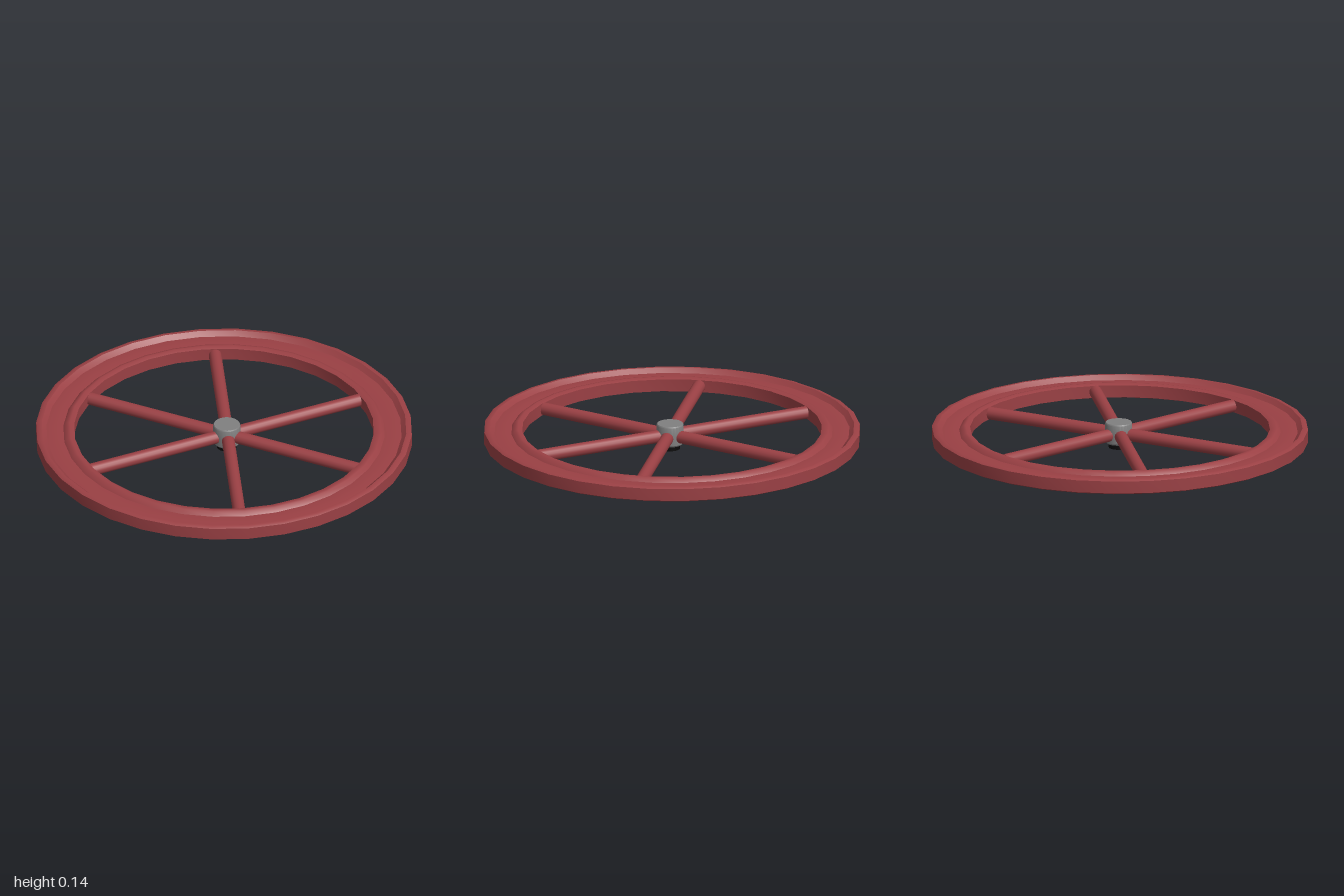
import * as THREE from 'three';
import { toCreasedNormals } from 'three/addons/utils/BufferGeometryUtils.js';

const mat = (color) => new THREE.MeshStandardMaterial({ color });

function lathe(name, profile, segments, material) {
  const points = profile.map(([r, y]) => new THREE.Vector2(r, y));
  const geometry = toCreasedNormals(new THREE.LatheGeometry(points, segments), 0.6);
  const mesh = new THREE.Mesh(geometry, material);
  mesh.name = name;
  return mesh;
}

export function createModel() {
  const wheel = new THREE.Group();
  wheel.name = 'spokedWheel';
  const red = mat(0x9a4044);
  const grey = mat(0x808080);
  const black = mat(0x0a0a0a);
  const midY = 0.076;

  // Rim: two raised lips with a shallow channel on each face
  const upper = [
    [1, 0.033], [0.985, 0.041], [0.97, 0.041], [0.945, 0.018], [0.9, 0.022],
    [0.855, 0.018], [0.835, 0.038], [0.82, 0.041], [0.797, 0.033],
  ];
  const lower = upper.map(([r, y]) => [r, -y]).reverse();
  const section = [...lower, ...upper, lower[0]];
  // Lower half runs inside to outside, upper half back inward
  const rim = lathe('rim', section, 32, red);
  rim.position.y = midY;
  wheel.add(rim);

  // Spokes: three bars crossing at the hub, each given by its two ends (x, z)
  const bars = [
    [[-0.81, -0.003], [0.81, -0.003]],
    [[-0.39, -0.685], [0.43, 0.685]],
    [[-0.49, 0.65], [0.51, -0.64]],
  ];
  for (const [a, b] of bars) {
    const start = new THREE.Vector3(a[0], midY, a[1]);
    const end = new THREE.Vector3(b[0], midY, b[1]);
    const along = end.clone().sub(start);
    const geometry = new THREE.CylinderGeometry(0.034, 0.034, along.length(), 16);
    const spoke = new THREE.Mesh(geometry, red);
    spoke.name = 'spokePair';
    spoke.position.copy(start).add(end).multiplyScalar(0.5);
    spoke.quaternion.setFromUnitVectors(new THREE.Vector3(0, 1, 0), along.normalize());
    wheel.add(spoke);
  }

  // Hub: a short barrel with a dark axle stub below
  const hub = new THREE.Group();
  hub.name = 'hub';
  hub.position.set(0.014, 0, -0.005);
  hub.add(lathe('hubBarrel',
    [[0, 0.026], [0.066, 0.026], [0.072, 0.034], [0.073, 0.08], [0.072, 0.134], [0.068, 0.14], [0, 0.14]],
    24, grey));
  hub.add(lathe('axleStub', [[0, 0], [0.053, 0], [0.053, 0.03]], 24, black));
  wheel.add(hub);

  return wheel;
}
